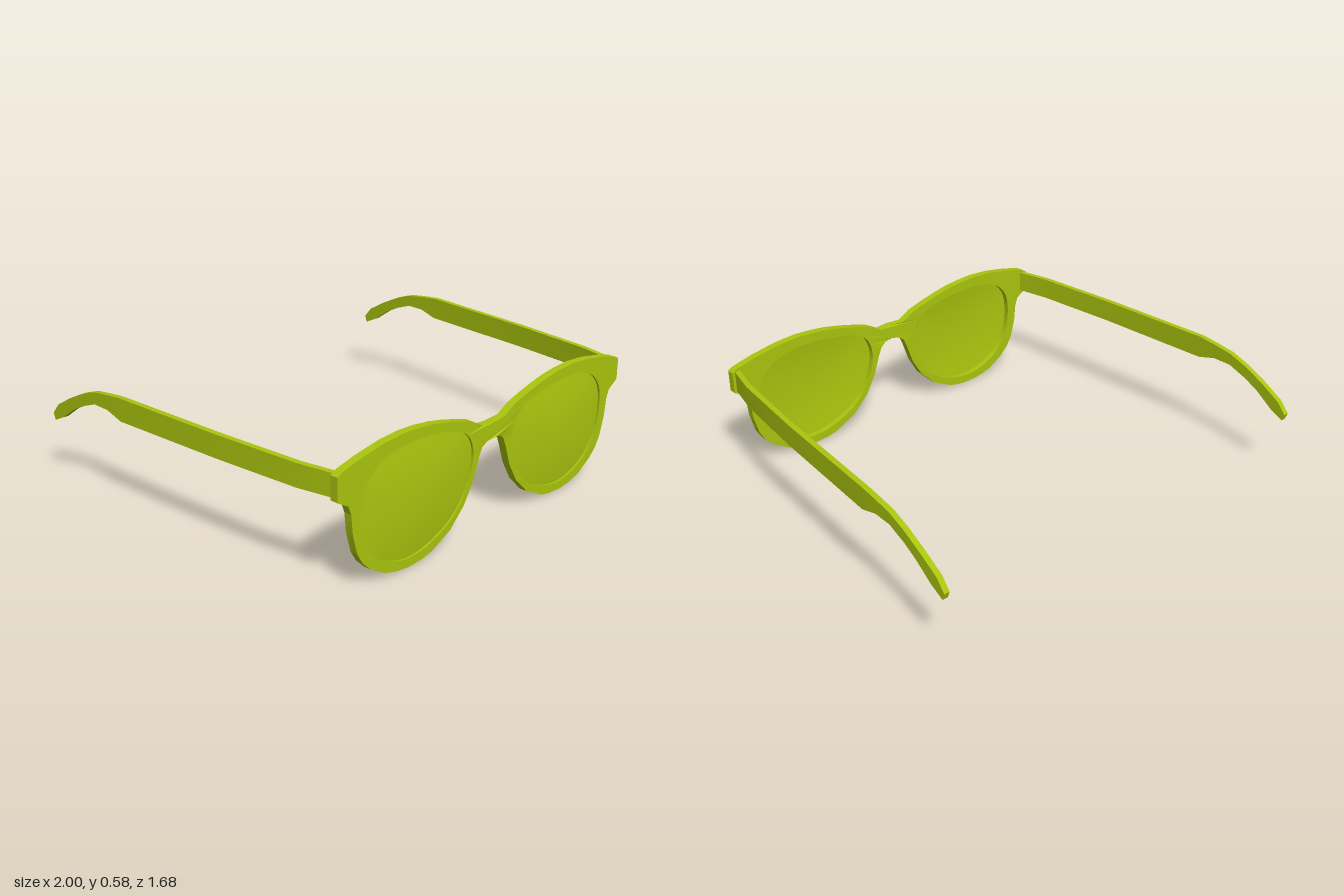
import * as THREE from 'three';
import { toCreasedNormals } from 'three/addons/utils/BufferGeometryUtils.js';

// Half outline of the front frame, from top of bridge round to underside of bridge
const OUTLINE = [
  [0.068, 0.475], [0.13, 0.51], [0.2, 0.532], [0.28, 0.553], [0.36, 0.57], [0.44, 0.58], [0.53, 0.585],
  [0.64, 0.577], [0.76, 0.556], [0.855, 0.532], [0.88, 0.518], [0.88, 0.418], [0.85, 0.4],
  [0.825, 0.385], [0.81, 0.345], [0.802, 0.26], [0.778, 0.17], [0.75, 0.122], [0.71, 0.082],
  [0.625, 0.03], [0.56, 0.012], [0.49, 0.004], [0.42, 0.008], [0.36, 0.02], [0.25, 0.075],
  [0.17, 0.155], [0.118, 0.245], [0.085, 0.34], [0.068, 0.38], [0.04, 0.4],
];

// Lens opening, smoothed by a closed curve
const OPENING = [
  [0.13, 0.3], [0.123, 0.38], [0.155, 0.455], [0.225, 0.497], [0.35, 0.525], [0.5, 0.535],
  [0.61, 0.522], [0.69, 0.485], [0.742, 0.42], [0.757, 0.33], [0.743, 0.225], [0.7, 0.145],
  [0.64, 0.09], [0.51, 0.045], [0.385, 0.057], [0.245, 0.12], [0.165, 0.21],
];

// Temple arm stations: outer x, top z, top y, bottom z, bottom y
const ARM = [
  [0.866, 0.8, 0.52, 0.8, 0.422], [0.902, 0.64, 0.521, 0.64, 0.421], [0.946, 0.24, 0.522, 0.24, 0.42],
  [0.99, -0.335, 0.521, -0.335, 0.417], [0.992, -0.425, 0.511, -0.425, 0.443],
  [0.994, -0.515, 0.498, -0.515, 0.443], [0.996, -0.605, 0.466, -0.605, 0.41],
  [0.998, -0.7, 0.42, -0.675, 0.375], [0.999, -0.8, 0.362, -0.765, 0.312], [1, -0.843, 0.312, -0.832, 0.28],
];
const ARM_THICKNESS = 0.025;

function openingPoints(side) {
  const curve = new THREE.CatmullRomCurve3(OPENING.map(([x, y]) => new THREE.Vector3(side * x, y, 0)), true);
  return curve.getPoints(48).slice(0, -1).map((p) => new THREE.Vector2(p.x, p.y));
}

function buildGeometry(positions, index, flip) {
  if (flip) for (let i = 0; i < index.length; i += 3) [index[i], index[i + 1]] = [index[i + 1], index[i]];
  const geometry = new THREE.BufferGeometry();
  geometry.setAttribute('position', new THREE.Float32BufferAttribute(positions, 3));
  geometry.setIndex(index);
  geometry.computeVertexNormals();
  return geometry;
}

function frameGeometry() {
  const right = OUTLINE.map(([x, y]) => new THREE.Vector2(x, y));
  const left = OUTLINE.map(([x, y]) => new THREE.Vector2(-x, y)).reverse();
  const shape = new THREE.Shape([new THREE.Vector2(0, 0.475), ...right, new THREE.Vector2(0, 0.405), ...left]);
  for (const side of [1, -1]) shape.holes.push(new THREE.Path(openingPoints(side)));
  const geometry = new THREE.ExtrudeGeometry(shape, { depth: 0.036, bevelEnabled: false });
  geometry.translate(0, 0, 0.797);
  // The bridge bows slightly forward
  const p = geometry.attributes.position;
  for (let i = 0; i < p.count; i++) {
    p.setZ(i, p.getZ(i) + 0.009 * Math.max(0, 1 - Math.abs(p.getX(i)) / 0.068));
  }
  geometry.computeVertexNormals();
  return toCreasedNormals(geometry, 0.25);
}

// Shallow dome made of shrinking copies of the opening
function lensGeometry(side) {
  const rim = openingPoints(side);
  const n = rim.length, rings = 6, cx = side * 0.45, cy = 0.3;
  const positions = [], index = [];
  for (let r = 0; r <= rings; r++) {
    const t = r / rings;
    for (const p of rim) {
      positions.push(cx + (p.x - cx) * t * 1.005, cy + (p.y - cy) * t * 1.005, 0.841 - 0.017 * t * t);
    }
  }
  for (let r = 0; r < rings; r++) {
    for (let i = 0; i < n; i++) {
      const a = r * n + i, b = r * n + (i + 1) % n;
      if (r > 0) index.push(a, b, a + n);
      index.push(b, b + n, a + n);
    }
  }
  return buildGeometry(positions, index, side < 0);
}

// Rectangular sections swept from hinge to ear tip
function armGeometry(side) {
  const positions = [], index = [];
  for (const [x, zt, yt, zb, yb] of ARM) {
    const outer = side * x, inner = side * (x - ARM_THICKNESS);
    positions.push(outer, yt, zt, inner, yt, zt, inner, yb, zb, outer, yb, zb);
  }
  for (let s = 0; s < ARM.length - 1; s++) {
    for (let k = 0; k < 4; k++) {
      const a = s * 4 + k, b = s * 4 + (k + 1) % 4;
      index.push(a, a + 4, b, b, a + 4, b + 4);
    }
  }
  const e = (ARM.length - 1) * 4;
  index.push(0, 1, 2, 0, 2, 3, e, e + 2, e + 1, e, e + 3, e + 2);
  return toCreasedNormals(buildGeometry(positions, index, side < 0), 0.25);
}

export function createModel() {
  const group = new THREE.Group();
  group.name = 'sunglasses';
  const lime = new THREE.MeshStandardMaterial({ color: 0xaac40e, side: THREE.DoubleSide });
  lime.name = 'lime';

  const add = (name, geometry) => {
    const mesh = new THREE.Mesh(geometry, lime);
    mesh.name = name;
    group.add(mesh);
  };

  add('frontFrame', frameGeometry());
  for (const [side, label] of [[1, 'left'], [-1, 'right']]) {
    add(label + 'Lens', lensGeometry(side));
    add(label + 'Temple', armGeometry(side));
  }
  return group;
}
